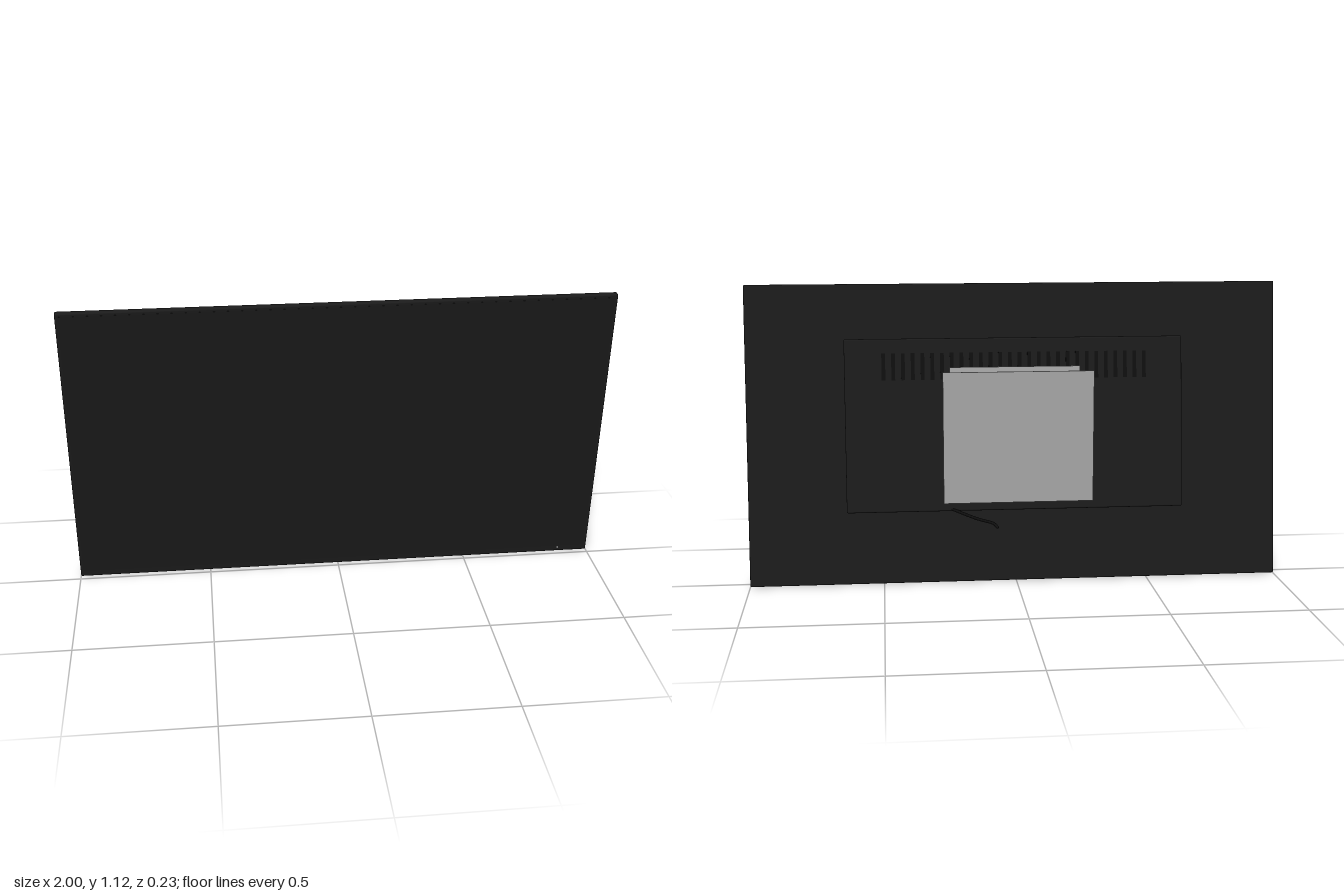
import * as THREE from 'three';
import { RoundedBoxGeometry } from 'three/addons/geometries/RoundedBoxGeometry.js';

const mat = (name, color) => {
  const m = new THREE.MeshStandardMaterial({ color });
  m.name = name;
  return m;
};

export function createModel() {
  const shell = mat('charcoal plastic', 0x1b1b1b);
  const glass = mat('screen black', 0x1a1a1a);
  const dark = mat('vent black', 0x0e0e0e);
  const steel = mat('grey steel', 0xa6a6a6);
  const white = mat('indicator white', 0xd8d8d8);

  const model = new THREE.Group();
  model.name = 'wallMountedScreen';

  const add = (parent, name, geo, material, x, y, z) => {
    const mesh = new THREE.Mesh(geo, material);
    mesh.name = name;
    mesh.position.set(x, y, z);
    parent.add(mesh);
    return mesh;
  };
  const box = (w, h, d) => new THREE.BoxGeometry(w, h, d);

  // Everything that tilts with the display
  const display = new THREE.Group();
  display.name = 'tiltedDisplay';
  display.position.set(0, 0.56, 0.036);
  display.rotation.x = THREE.MathUtils.degToRad(7);
  model.add(display);

  add(display, 'panel', new RoundedBoxGeometry(2, 1.125, 0.024, 3, 0.005), shell, 0, 0, 0);
  add(display, 'screen', box(1.98, 1.09, 0.001), glass, 0, 0.006, 0.012);
  add(display, 'indicatorLight', box(0.006, 0.004, 0.001), white, 0.883, -0.5445, 0.0122);
  add(display, 'rearHousing', new RoundedBoxGeometry(1.27, 0.648, 0.034, 3, 0.006), shell, 0, 0.034, -0.025);

  // Ventilation slots along the top of the housing
  const slots = 28;
  for (let i = 0; i < slots; i++) {
    const x = -0.49 + (0.98 * i) / (slots - 1);
    add(display, 'ventSlot', box(0.014, 0.1, 0.002), dark, x, 0.254, -0.042);
  }

  // Mounting plate bolted to the housing
  add(display, 'displayPlate', box(0.49, 0.493, 0.005), steel, 0, 0.003, -0.0505);
  for (const x of [-0.19, 0.19]) {
    for (const y of [-0.19, 0.196]) {
      const spacer = add(display, 'spacer', new THREE.CylinderGeometry(0.009, 0.009, 0.008, 16), dark, x, y, -0.045);
      spacer.rotation.x = Math.PI / 2;
    }
  }

  // Plate fixed to the wall, with its four screws
  add(model, 'wallPlate', box(0.556, 0.489, 0.006), steel, -0.002, 0.5685, -0.11);
  for (const x of [-0.2, 0.195]) {
    for (const y of [0.37, 0.765]) {
      const screw = add(model, 'wallScrew', new THREE.CylinderGeometry(0.009, 0.009, 0.006, 16), steel, x, y, -0.104);
      screw.rotation.x = Math.PI / 2;
    }
  }

  // Two arms and the pivot bar they carry
  for (const x of [-0.14, 0.14]) {
    add(model, 'arm', new RoundedBoxGeometry(0.053, 0.03, 0.086, 3, 0.006), steel, x, 0.568, -0.064);
  }
  const pivot = add(model, 'pivotBar', new THREE.CylinderGeometry(0.008, 0.008, 0.37, 20), steel, 0, 0.568, -0.022);
  pivot.rotation.z = Math.PI / 2;

  // Power cable hanging from the housing
  const path = new THREE.CatmullRomCurve3([
    new THREE.Vector3(0.26, 0.29, -0.03),
    new THREE.Vector3(0.15, 0.252, -0.066),
    new THREE.Vector3(0.09, 0.237, -0.085),
    new THREE.Vector3(0.077, 0.227, -0.102),
  ]);
  add(model, 'cable', new THREE.TubeGeometry(path, 32, 0.0055, 10), dark, 0, 0, 0);
  const end = path.getPoint(1);
  add(model, 'cableEnd', new THREE.SphereGeometry(0.0055, 10, 8), dark, end.x, end.y, end.z);

  return model;
}
